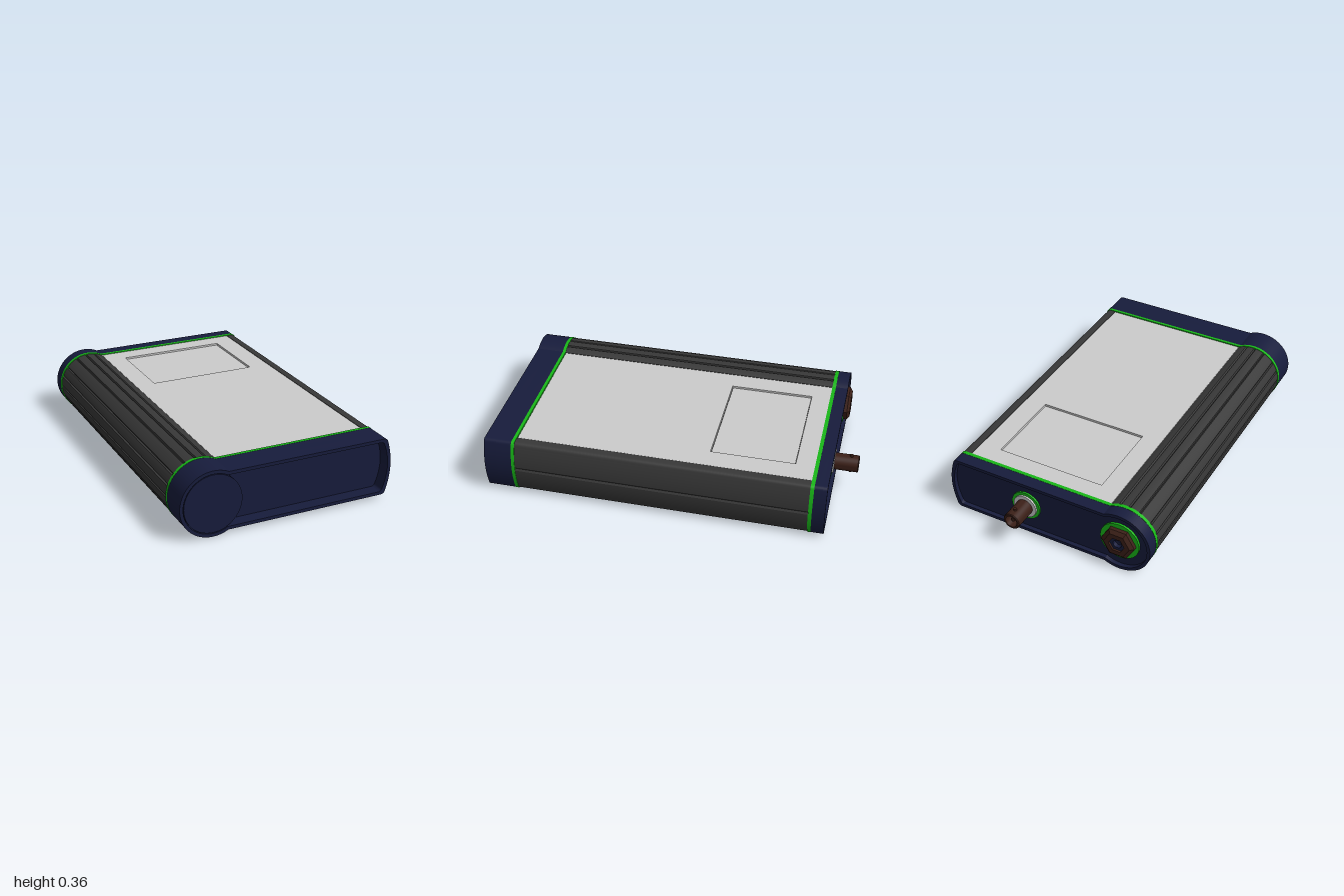
import * as THREE from 'three';
import { toCreasedNormals } from 'three/addons/utils/BufferGeometryUtils.js';

const mat = (color, extra = {}) => new THREE.MeshStandardMaterial({ color, ...extra });
const navy = mat(0x171c3c), dark = mat(0x383838), green = mat(0x18b818);
const brown = mat(0x3c2018), brownFlat = mat(0x3c2018, { flatShading: true });
const grey = mat(0xcccccc), white = mat(0xeeeeee);

const BX = -0.42, CY = 0.18; // axis of the round barrel on the model's right

// Cross-section: round barrel, flat slab, bowed far edge. Optional ribs and lid pocket.
function profile(inset = 0, grooved = false) {
  const r = 0.18 - inset, h = 0.16 - inset, xr = 0.6 - inset;
  const a = Math.asin(h / r), n = 120;
  const grooves = [8, 17, 27, 40, 50, 60, 70, 80, 93, 103, 112];
  const s = new THREE.Shape();
  for (let k = 0; k <= n; k++) {
    const t = a + (2 * Math.PI - 2 * a) * k / n;
    const q = grooved && grooves.includes(k) ? r - 0.01 : r;
    const x = BX + q * Math.cos(t), y = CY + q * Math.sin(t);
    if (k) s.lineTo(x, y); else s.moveTo(x, y);
  }
  s.lineTo(xr - 0.05, CY - h);
  s.quadraticCurveTo(xr - 0.028, CY - h, xr - 0.024, CY - h + 0.02);
  for (let k = -11; k <= 12; k++) {
    const u = k / 12;
    const dip = grooved && k === 0 ? 0.007 : 0;
    s.lineTo(xr - 0.024 * u * u - dip, CY + u * (h - 0.02));
  }
  s.quadraticCurveTo(xr - 0.028, CY + h, xr - 0.05, CY + h);
  if (grooved) {
    s.lineTo(0.52, CY + h);
    s.lineTo(0.52, CY + h - 0.02);
    s.lineTo(-0.335, CY + h - 0.02);
    s.lineTo(-0.335, CY + h);
  }
  return s;
}

function rectangle(path, x0, y0, x1, y1) {
  path.moveTo(x0, y0);
  path.lineTo(x1, y0);
  path.lineTo(x1, y1);
  path.lineTo(x0, y1);
  path.closePath();
  return path;
}

export function createModel() {
  const model = new THREE.Group();
  model.name = 'handheldInstrument';

  const add = (parent, name, geometry, material, x = 0, y = 0, z = 0) => {
    const m = new THREE.Mesh(geometry, material);
    m.name = name;
    m.position.set(x, y, z);
    parent.add(m);
    return m;
  };
  // Extrudes a cross-section from z0 to z1
  const slab = (parent, name, shape, z0, z1, material) => {
    const g = new THREE.ExtrudeGeometry(shape, { depth: z1 - z0, bevelEnabled: false, curveSegments: 6 });
    return add(parent, name, toCreasedNormals(g, 0.4), material, 0, 0, z0);
  };
  // Turned part pointing backwards, profile as [radius, distance]
  const turned = (parent, name, pts, material, x, y, z, sides = 32, start = 0) => {
    let g = new THREE.LatheGeometry(pts.map(p => new THREE.Vector2(...p)), sides, start);
    g.rotateX(-Math.PI / 2);
    if (sides > 8) g = toCreasedNormals(g, 0.5);
    return add(parent, name, g, material, x, y, z);
  };

  // Ribbed housing
  slab(model, 'housing', profile(0.002, true), -0.785, 0.83, dark);

  // Lid with a shallow display window
  const lid = new THREE.Group();
  lid.name = 'lid';
  model.add(lid);
  const lidShape = rectangle(new THREE.Shape(), -0.333, -0.825, 0.518, 0.783);
  lidShape.holes.push(rectangle(new THREE.Path(), -0.22, 0.22, 0.4, 0.68));
  const lidGeo = new THREE.ExtrudeGeometry(lidShape, { depth: 0.018, bevelEnabled: false });
  lidGeo.rotateX(-Math.PI / 2);
  add(lid, 'lidPanel', lidGeo, grey, 0, 0.319, 0);
  add(lid, 'displayWindow', new THREE.BoxGeometry(0.614, 0.008, 0.454), grey, 0.09, 0.323, -0.45);

  // Gaskets between housing and end caps
  slab(model, 'frontGasket', profile(-0.001), 0.828, 0.846, green);
  slab(model, 'backGasket', profile(-0.001), -0.803, -0.783, green);

  // End caps: solid base plus raised rim
  const cap = (name, base, rim) => {
    const group = new THREE.Group();
    group.name = name;
    model.add(group);
    slab(group, name + 'Base', profile(), ...base, navy);
    const ring = profile();
    ring.holes.push(profile(0.018));
    slab(group, name + 'Rim', ring, ...rim, navy);
    return group;
  };
  const front = cap('frontCap', [0.846, 0.93], [0.93, 1]);
  cap('backCap', [-0.848, -0.803], [-0.872, -0.848]);

  // Round battery cover filling the barrel end
  const cover = new THREE.CylinderGeometry(0.158, 0.158, 0.072, 48);
  cover.rotateX(Math.PI / 2);
  add(front, 'batteryCover', cover, navy, BX, CY, 0.963);

  // Coaxial connector
  const coax = new THREE.Group();
  coax.name = 'coaxialConnector';
  coax.position.set(0.14, 0.185, -0.848);
  model.add(coax);
  turned(coax, 'connectorGasket', [[0.085, 0], [0.085, 0.01], [0, 0.01]], green, 0, 0, 0);
  turned(coax, 'connectorWasher', [[0.068, 0], [0.068, 0.02], [0, 0.02]], white, 0, 0, 0);
  turned(coax, 'connectorBarrel', [[0.047, 0], [0.047, 0.148], [0.043, 0.152], [0.034, 0.152],
    [0.034, 0.08], [0, 0.08]], brown, 0, 0, 0);
  turned(coax, 'connectorPin', [[0.012, 0.08], [0.012, 0.135], [0, 0.135]], brown, 0, 0, 0, 16);
  for (const side of [-1, 1]) {
    add(coax, 'bayonetLug', new THREE.CylinderGeometry(0.009, 0.009, 0.018, 12), brown, 0, side * 0.048, -0.108);
  }

  // Round socket held by a chamfered hexagon nut
  const socket = new THREE.Group();
  socket.name = 'socket';
  socket.position.set(BX, CY, -0.848);
  model.add(socket);
  turned(socket, 'socketGasket', [[0.112, 0], [0.112, 0.012], [0, 0.012]], green, 0, 0, 0);
  turned(socket, 'socketNut', [[0.097, 0.008], [0.097, 0.032], [0.075, 0.047], [0.045, 0.047], [0.045, 0.01]],
    brownFlat, 0, 0, 0, 6, Math.PI / 2);
  turned(socket, 'socketInsert', [[0.046, 0.01], [0.046, 0.036], [0.024, 0.036], [0.024, 0.014], [0, 0.014]],
    navy, 0, 0, 0);

  return model;
}
